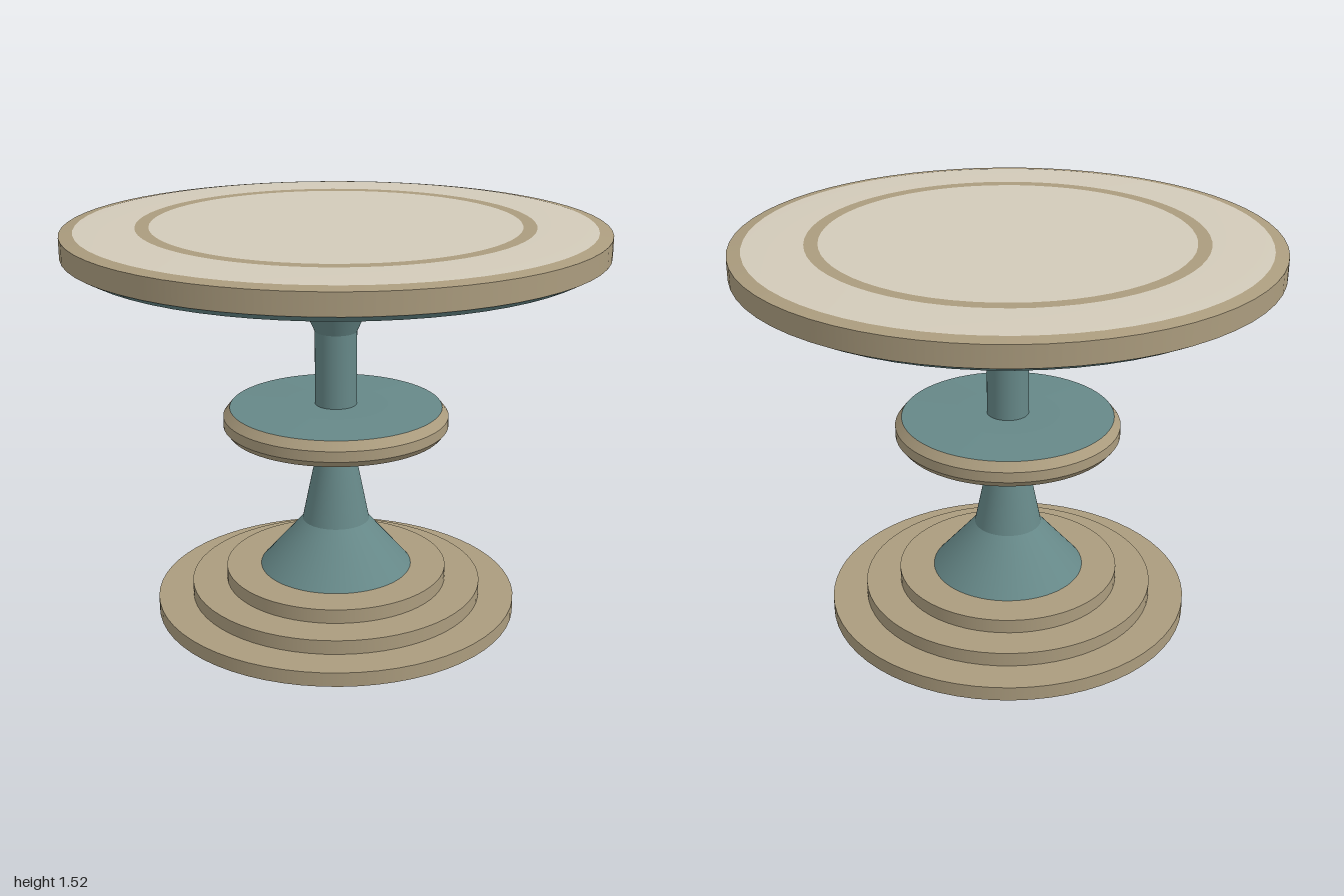
import * as THREE from 'three';
import { mergeGeometries } from 'three/addons/utils/BufferGeometryUtils.js';

const SIDES = 64;

const material = (name, color) => {
  const m = new THREE.MeshStandardMaterial({ color });
  m.name = name;
  return m;
};

// Turned surface with a crease at every profile point (points run upward on the outside)
function turned(profile) {
  const bands = [];
  for (let i = 0; i < profile.length - 1; i++) {
    const pair = [profile[i], profile[i + 1]].map(([r, y]) => new THREE.Vector2(r, y));
    bands.push(new THREE.LatheGeometry(pair, SIDES));
  }
  return mergeGeometries(bands);
}

// Turned surface that stays smooth along its profile
const smoothTurned = (profile) =>
  new THREE.LatheGeometry(profile.map(([r, y]) => new THREE.Vector2(r, y)), SIDES);

export function createModel() {
  const model = new THREE.Group();
  model.name = 'pedestalTable';

  const tan = material('tan', 0xab9c7e);
  const cream = material('cream', 0xd2cab9);
  const teal = material('teal', 0x668888);

  const add = (name, geometry, mat) => {
    const mesh = new THREE.Mesh(geometry, mat);
    mesh.name = name;
    model.add(mesh);
  };

  // Stepped base
  [0.7, 0.565, 0.43].forEach((r, i) => {
    const step = new THREE.CylinderGeometry(r, r, 0.055, SIDES);
    step.translate(0, 0.0275 + i * 0.055, 0);
    add(`baseStep${i + 1}`, step, tan);
  });

  // Flared column
  add('column', turned([[0.295, 0.165], [0.13, 0.355], [0.08, 0.6], [0.08, 1.11], [0.16, 1.29]]), teal);

  // Collar halfway up the column
  add('collar', turned([
    [0.08, 0.71], [0.2, 0.71], [0.41, 0.72], [0.43, 0.745], [0.43, 0.785], [0.405, 0.817],
  ]), tan);
  add('collarTop', turned([[0.405, 0.817], [0.2, 0.825], [0.08, 0.825]]), teal);

  // Support plate under the top
  add('supportCone', turned([[0.16, 1.29], [0.41, 1.348]]), teal);
  add('supportPlate', turned([[0.41, 1.348], [0.51, 1.37], [0.51, 1.397]]), tan);

  // Tabletop: underside, lower bevel, edge and rim
  add('topUnderside', turned([[0, 1.397], [0.95, 1.4]]), tan);
  add('lowerBevel', turned([[0.95, 1.4], [1, 1.427]]), teal);
  add('topEdge', turned([[1, 1.427], [1, 1.505], [0.95, 1.513]]), tan);

  // Tabletop surface with inlaid ring
  add('outerSurface', smoothTurned([[0.95, 1.513], [0.85, 1.517], [0.73, 1.518]]), cream);
  add('inlayRing', turned([[0.73, 1.518], [0.68, 1.518]]), tan);
  add('innerSurface', turned([[0.68, 1.518], [0, 1.518]]), cream);

  return model;
}
